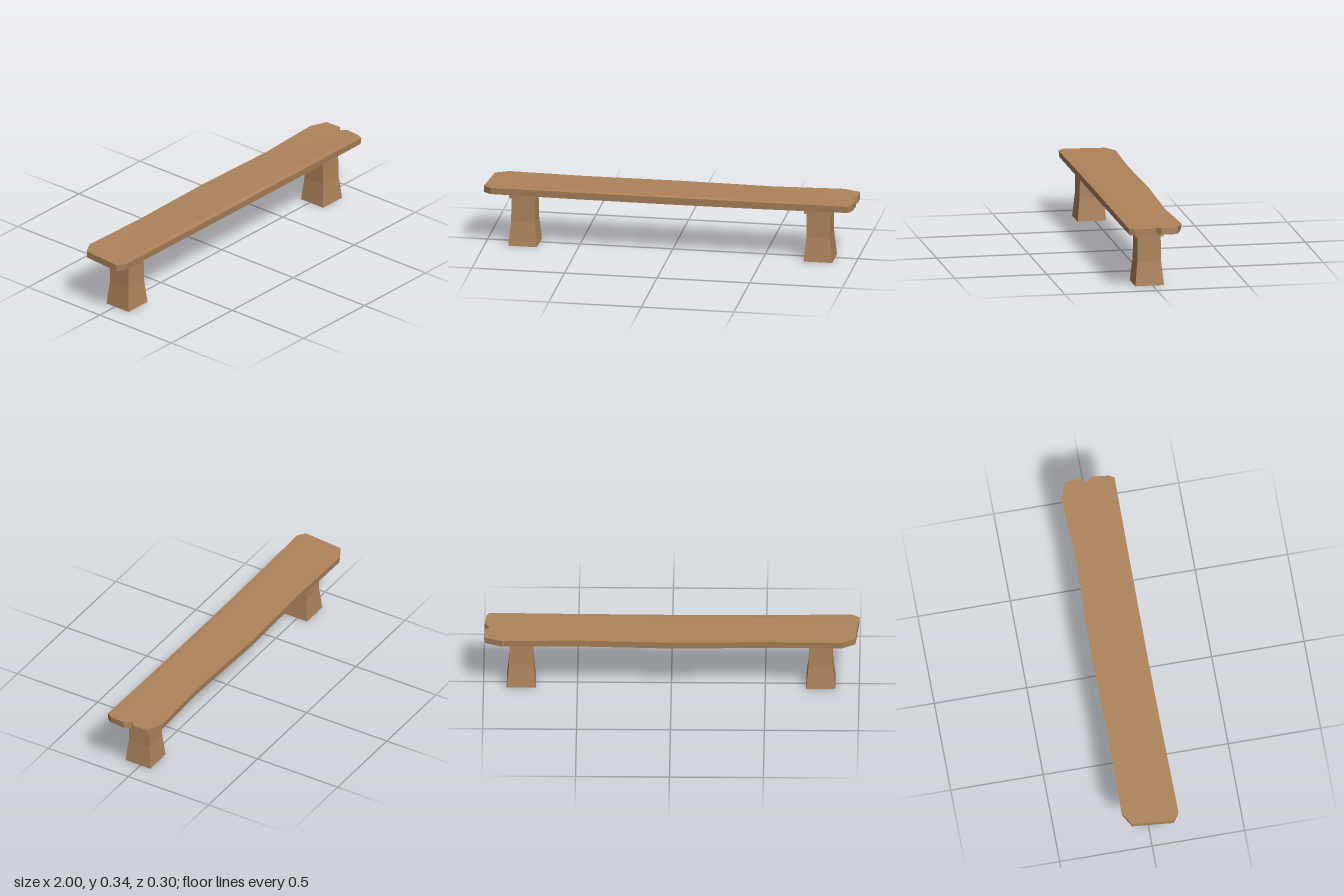
import * as THREE from 'three';

export function createModel() {
  const bench = new THREE.Group();
  bench.name = 'bench';
  const wood = new THREE.MeshStandardMaterial({ color: 0xae845b, flatShading: true });
  wood.name = 'wood';

  const add = (geometry, name, parent) => {
    geometry.computeVertexNormals();
    const mesh = new THREE.Mesh(geometry, wood);
    mesh.name = name;
    parent.add(mesh);
    return mesh;
  };

  // Moves every vertex by a rule
  const reshape = (geometry, rule) => {
    const p = geometry.attributes.position;
    const v = new THREE.Vector3();
    for (let i = 0; i < p.count; i++) {
      rule(v.fromBufferAttribute(p, i));
      p.setXYZ(i, v.x, v.y, v.z);
    }
    return geometry;
  };

  // Seat plank: worn outline as [x, z], with chipped corners and a notch at one end
  const outline = [
    [-1, 0.12], [-0.96, 0.15], [-0.52, 0.145], [0, 0.143], [0.52, 0.145], [0.97, 0.148],
    [0.985, 0.12], [0.995, 0.032], [0.968, -0.004], [0.995, -0.024], [0.992, -0.115],
    [0.9, -0.152], [0.53, -0.136], [0, -0.151], [-0.5, -0.142], [-0.91, -0.15], [-0.98, -0.108],
  ];
  const shape = new THREE.Shape(outline.map(([x, z]) => new THREE.Vector2(x, -z)));
  const plank = new THREE.ExtrudeGeometry(shape, { depth: 1, bevelEnabled: false });
  plank.rotateX(-Math.PI / 2);
  // Sags slightly in the middle; the underside is a little narrower
  reshape(plank, (v) => {
    const sag = 1 - v.x * v.x;
    if (v.y > 0.5) {
      v.y = 0.338 - 0.004 * sag;
    } else {
      v.y = 0.302 - 0.008 * sag;
      v.z *= 0.965;
    }
  });
  add(plank, 'seatPlank', bench);

  // Legs: flared foot, straight neck and a square cap
  for (const [name, x] of [['rightLeg', -0.795], ['leftLeg', 0.799]]) {
    const leg = new THREE.Group();
    leg.name = name;
    leg.position.set(x, 0, 0.016);
    bench.add(leg);

    const post = new THREE.BoxGeometry(1, 2, 1, 1, 2, 1).translate(0, 1, 0);
    const heights = [0, 0.13, 0.268];
    const widths = [0.155, 0.129, 0.125];
    reshape(post, (v) => {
      const level = Math.round(v.y);
      v.set(v.x * widths[level], heights[level], v.z * widths[level]);
    });
    add(post, 'post', leg);

    add(new THREE.BoxGeometry(0.149, 0.036, 0.152).translate(0, 0.284, 0), 'cap', leg);
  }
  return bench;
}
